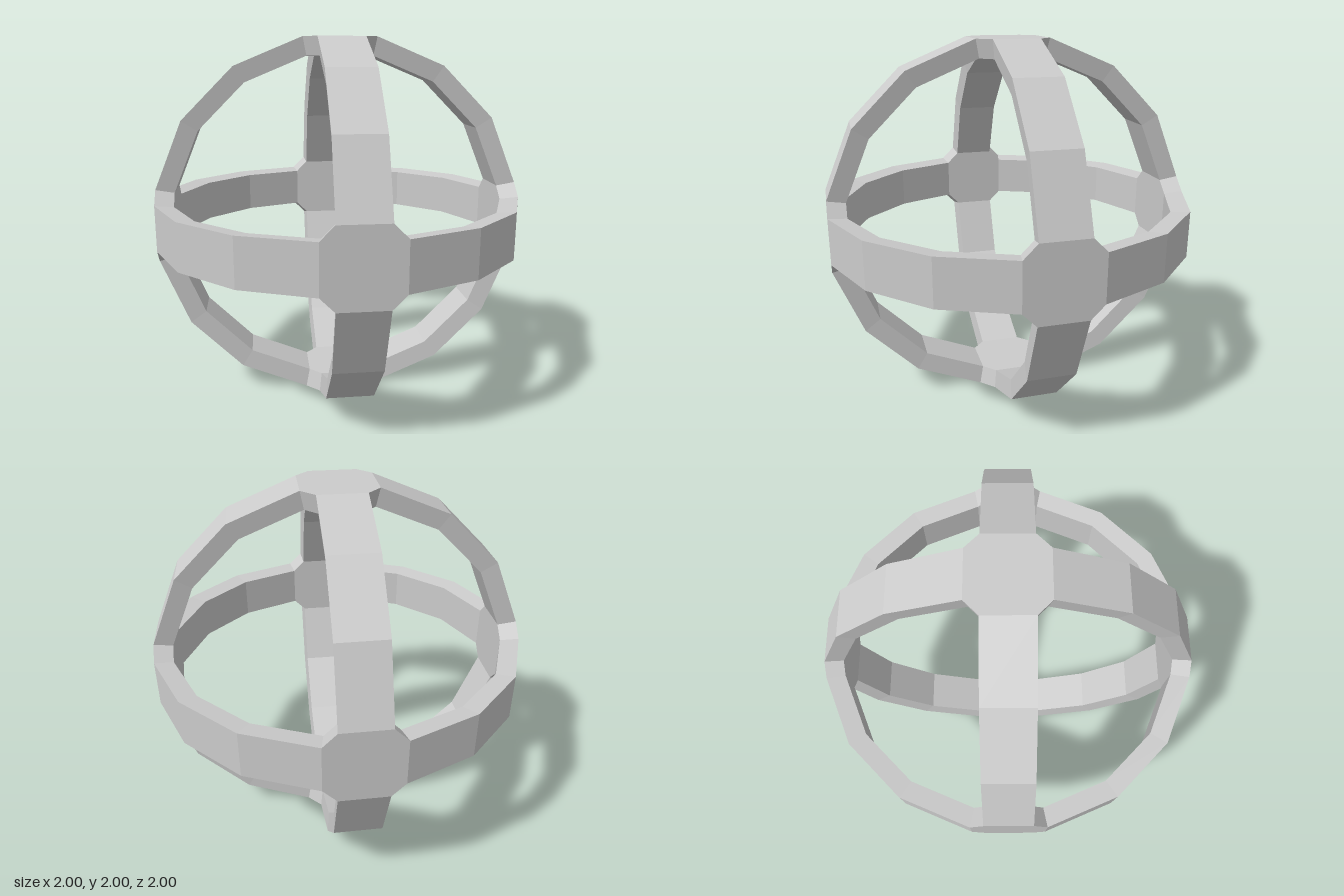
import * as THREE from 'three';

const HALF_WIDTH = 0.127; // half the width of a band
const REACH = Math.tan(Math.PI / 16); // where the 16-sided rings meet the hubs
const INNER = 0.9; // the inner skin is the outer one scaled towards the centre

const material = new THREE.MeshStandardMaterial({ color: 0xcccccc, flatShading: true });

// Flat-shaded geometry from convex polygons, each a loop of Vector3 corners
function fromPolygons(polygons) {
  const points = [];
  for (const p of polygons) {
    for (let i = 1; i < p.length - 1; i++) points.push(p[0], p[i], p[i + 1]);
  }
  const geometry = new THREE.BufferGeometry().setFromPoints(points);
  geometry.computeVertexNormals();
  return geometry;
}

// Quarter of a ring: a rectangular section swept over three facets, from +x to +y
function arcGeometry() {
  const sections = [];
  const radius = 1 / Math.cos(Math.PI / 16);
  for (let i = 0; i < 4; i++) {
    const angle = Math.PI / 16 + (i * Math.PI) / 8;
    const x = radius * Math.cos(angle);
    const y = radius * Math.sin(angle);
    const a = new THREE.Vector3(x, y, HALF_WIDTH);
    const b = new THREE.Vector3(x, y, -HALF_WIDTH);
    sections.push([a, b, b.clone().multiplyScalar(INNER), a.clone().multiplyScalar(INNER)]);
  }
  const quads = [];
  for (let i = 0; i < 3; i++) {
    for (let k = 0; k < 4; k++) {
      const n = (k + 1) % 4;
      quads.push([sections[i][k], sections[i][n], sections[i + 1][n], sections[i + 1][k]]);
    }
  }
  return fromPolygons(quads);
}

// Crossing plate facing +z: a square cross with its inner corners bevelled
function hubGeometry() {
  const w = HALF_WIDTH, r = REACH;
  const outer = [[r, w], [w, r], [-w, r], [-r, w], [-r, -w], [-w, -r], [w, -r], [r, -w]]
    .map(([x, y]) => new THREE.Vector3(x, y, 1));
  const inner = outer.map((p) => p.clone().multiplyScalar(INNER));
  const polygons = [outer, [...inner].reverse()];
  // Only the bevels need walls; the bands join the other four edges
  for (let i = 0; i < 8; i += 2) {
    polygons.push([inner[i], inner[i + 1], outer[i + 1], outer[i]]);
  }
  return fromPolygons(polygons);
}

export function createModel() {
  const model = new THREE.Group();
  model.name = 'ringSphere';
  const sphere = new THREE.Group();
  sphere.name = 'frame';
  sphere.position.y = 1;
  model.add(sphere);
  const quarter = Math.PI / 2;

  // Three rings at right angles, four arcs each
  const arc = arcGeometry();
  const rings = [
    ['frontRing', 0, 0],
    ['horizontalRing', quarter, 0],
    ['sideRing', 0, quarter],
  ];
  for (const [name, rx, ry] of rings) {
    const ring = new THREE.Group();
    ring.name = name;
    ring.rotation.set(rx, ry, 0);
    for (let i = 0; i < 4; i++) {
      const mesh = new THREE.Mesh(arc, material);
      mesh.name = `${name}Arc${i + 1}`;
      mesh.rotation.z = i * quarter;
      ring.add(mesh);
    }
    sphere.add(ring);
  }

  // Six hubs where the rings cross
  const hub = hubGeometry();
  const hubs = [
    ['frontHub', 0, 0],
    ['leftHub', 0, quarter],
    ['backHub', 0, 2 * quarter],
    ['rightHub', 0, -quarter],
    ['topHub', -quarter, 0],
    ['bottomHub', quarter, 0],
  ];
  for (const [name, rx, ry] of hubs) {
    const mesh = new THREE.Mesh(hub, material);
    mesh.name = name;
    mesh.rotation.set(rx, ry, 0);
    sphere.add(mesh);
  }
  return model;
}
